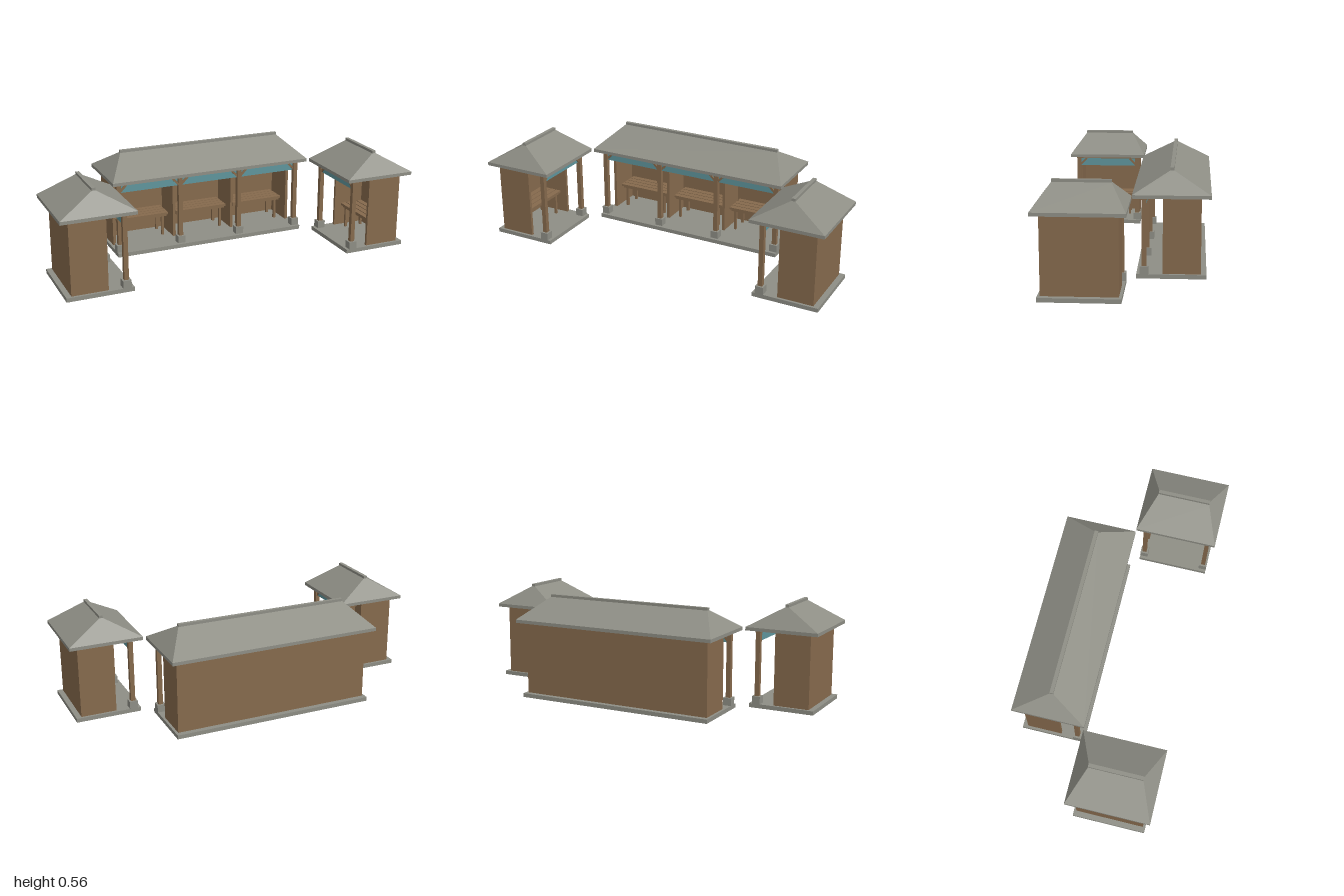
import * as THREE from 'three';

const grey = new THREE.MeshStandardMaterial({ name: 'stoneGrey', color: 0x8e8e85 });
const brown = new THREE.MeshStandardMaterial({ name: 'woodBrown', color: 0x866a4d });
const teal = new THREE.MeshStandardMaterial({ name: 'tealPanel', color: 0x5f959c });

const BAY = 0.36, FLOOR = 0.022, EAVE = 0.42;

// Box given by its extents on each axis
function box(parent, name, mat, [x0, x1], [y0, y1], [z0, z1]) {
  const mesh = new THREE.Mesh(new THREE.BoxGeometry(x1 - x0, y1 - y0, z1 - z0), mat);
  mesh.position.set((x0 + x1) / 2, (y0 + y1) / 2, (z0 + z1) / 2);
  mesh.name = name;
  parent.add(mesh);
  return mesh;
}

const around = (c, half) => [c - half, c + half];

// Hipped roof: eave slab, tapered body and ridge cap
function addRoof(parent, halfX, halfZ, ridgeHalf) {
  const roof = new THREE.Group();
  roof.name = 'roof';
  parent.add(roof);
  box(roof, 'eaveSlab', grey, around(0, halfX), [EAVE, 0.438], around(0, halfZ));
  const hip = box(roof, 'hippedSlopes', grey, around(0, halfX), [0.438, 0.546], around(0, halfZ));
  const p = hip.geometry.attributes.position;
  for (let i = 0; i < p.count; i++) {
    if (p.getY(i) > 0) {
      p.setX(i, Math.sign(p.getX(i)) * ridgeHalf);
      p.setZ(i, Math.sign(p.getZ(i)) * 0.01);
    }
  }
  hip.geometry.computeVertexNormals();
  box(roof, 'ridgeCap', grey, around(0, ridgeHalf), [0.544, 0.56], around(0, 0.01));
}

// Slatted bench
function addBench(parent, cx) {
  const bench = new THREE.Group();
  bench.name = 'bench';
  bench.position.x = cx;
  parent.add(bench);
  for (let i = 0; i < 4; i++) {
    const z = -0.109 + i * 0.036;
    box(bench, 'seatSlat', brown, around(0, 0.155), [0.148, 0.16], around(z, 0.0155));
  }
  for (const z of [-0.105, -0.005]) {
    box(bench, 'seatRail', brown, around(0, 0.15), [0.134, 0.148], around(z, 0.007));
    for (const x of [-0.125, 0.125])
      box(bench, 'benchLeg', brown, around(x, 0.007), [FLOOR, 0.136], around(z, 0.007));
  }
}

// Open-fronted shelter facing +z with a number of bays along x
function makeShelter(name, bays, ridgeHalf) {
  const g = new THREE.Group();
  g.name = name;
  const H = bays * BAY / 2, postZ = 0.14;

  box(g, 'floorSlab', grey, around(0, H + 0.022), [0, FLOOR], around(0, 0.179));
  box(g, 'backWall', brown, around(0, H + 0.008), [FLOOR, EAVE], [-0.15, -0.134]);
  box(g, 'frontBeam', brown, around(0, H + 0.015), [0.407, EAVE], around(postZ, 0.014));

  for (let i = 0; i <= bays; i++) {
    const x = -H + i * BAY;
    // End walls and partitions
    box(g, i % bays ? 'partition' : 'sideWall', brown, around(x, 0.008), [FLOOR, EAVE], [-0.134, 0.045]);
    box(g, 'footing', grey, around(x, 0.0225), [FLOOR, 0.063], around(postZ, 0.0225));
    box(g, 'post', brown, around(x, 0.0122), [0.063, 0.407], around(postZ, 0.0122));
    // Knee braces lean into the neighbouring bays
    for (const side of [-1, 1]) {
      if ((i === 0 && side < 0) || (i === bays && side > 0)) continue;
      const brace = box(g, 'brace', brown, around(x + side * 0.025, 0.006), [0.354, 0.414], around(postZ, 0.007));
      brace.rotation.z = -side * Math.PI / 4;
    }
  }

  for (let i = 0; i < bays; i++) {
    const c = -H + (i + 0.5) * BAY;
    box(g, 'hangingPanel', teal, around(c, BAY / 2 - 0.012), [0.36, 0.407], around(postZ - 0.004, 0.003));
    addBench(g, c);
  }

  addRoof(g, H + 0.046, 0.199, ridgeHalf);
  return g;
}

export function createModel() {
  const model = new THREE.Group();
  model.name = 'shelters';

  const main = makeShelter('longShelter', 3, 0.48);
  main.position.z = -0.226;
  model.add(main);

  // Two small shelters face each other across the front
  for (const side of [-1, 1]) {
    const small = makeShelter(side < 0 ? 'rightShelter' : 'leftShelter', 1, 0.145);
    small.position.set(side * 0.801, 0, 0.199);
    small.rotation.y = -side * Math.PI / 2;
    model.add(small);
  }
  return model;
}
